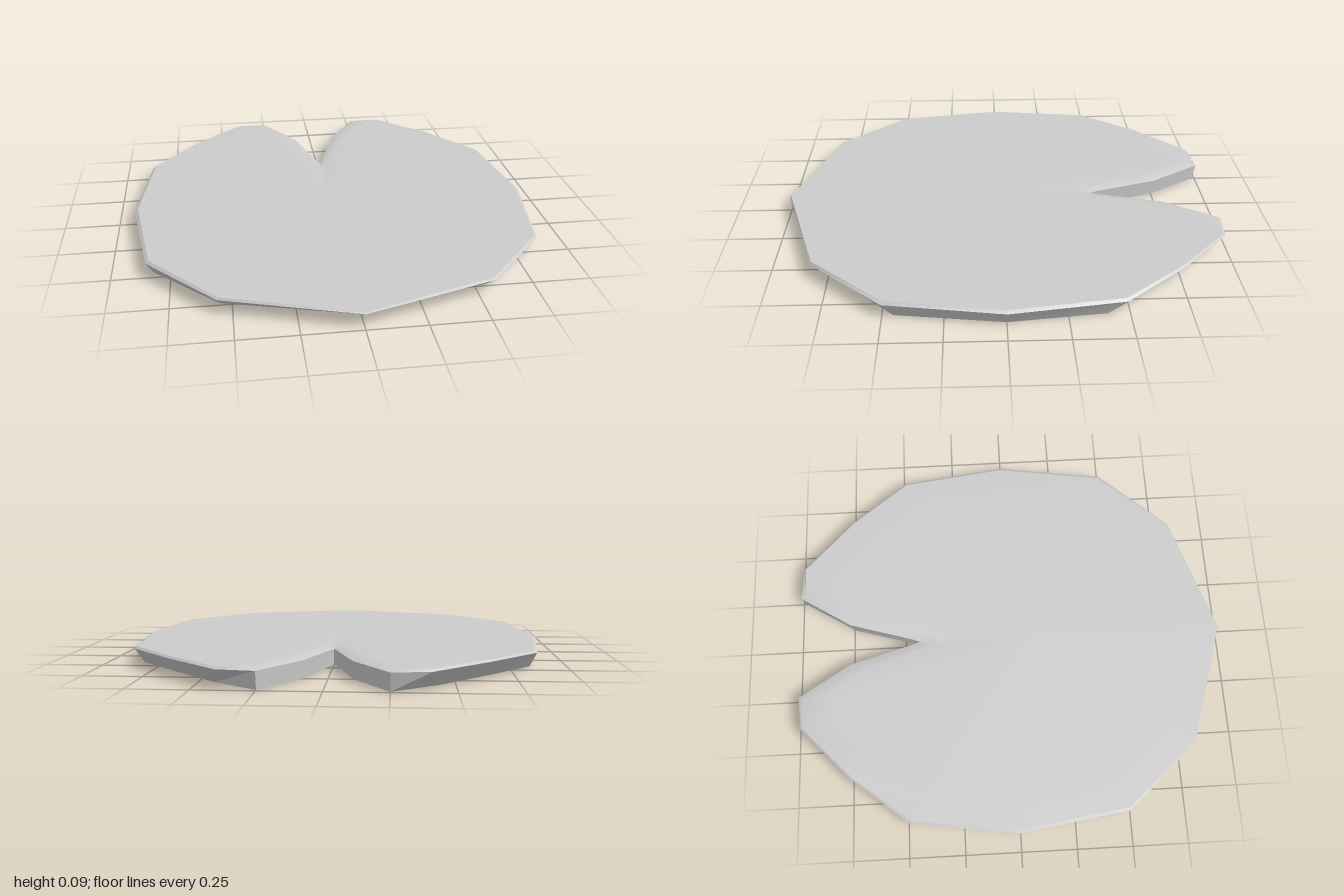
import * as THREE from 'three';
import { toCreasedNormals } from 'three/addons/utils/BufferGeometryUtils.js';

// Right half of each outline as [x, z, y], from the front tip round to the notch.
const UNDERSIDE = [
  [0, 0.87, 0], [0.55, 0.735, 0], [0.825, 0.455, 0], [0.885, 0, 0], [0.84, -0.41, 0],
  [0.64, -0.63, 0], [0.44, -0.84, 0], [0.25, -0.985, 0], [0.1, -0.745, 0], [0.015, -0.45, 0], [0, -0.42, 0],
];
const RIM = [
  [0, 1, 0.072], [0.56, 0.822, 0.07], [0.85, 0.5, 0.07], [0.925, 0, 0.07], [0.86, -0.485, 0.072],
  [0.645, -0.755, 0.078], [0.405, -0.987, 0.077], [0.25, -1, 0.075], [0.1, -0.76, 0.075], [0.015, -0.47, 0.071], [0, -0.43, 0.07],
];
const TOP = [
  [0, 0.995, 0.08], [0.555, 0.817, 0.08], [0.837, 0.495, 0.08], [0.91, 0, 0.08], [0.848, -0.48, 0.081],
  [0.638, -0.75, 0.086], [0.4, -0.978, 0.086], [0.268, -0.978, 0.086], [0.13, -0.75, 0.085], [0.032, -0.435, 0.08], [0, -0.405, 0.077],
];

// Full loop: the half outline plus its mirror image
function mirrorLoop(half) {
  const other = half.slice(1, -1).reverse().map(([x, z, y]) => [-x, z, y]);
  return [...half, ...other].map(([x, z, y]) => new THREE.Vector3(x, y, z));
}

// Shrinks a loop towards a centre point and sets a gentle height
function insetLoop(loop, centre, scale) {
  return loop.map((p) => {
    const q = p.clone().sub(centre).multiplyScalar(scale).add(centre);
    q.y = 0.081 + 0.007 * THREE.MathUtils.smoothstep(-q.z, 0.35, 0.75);
    return q;
  });
}

// Joins consecutive loops with quads and closes both ends with fans
function loft(loops, startCentre, endCentre) {
  const pos = [];
  const tri = (...pts) => pts.forEach((p) => pos.push(p.x, p.y, p.z));
  const n = loops[0].length;
  for (let i = 0; i < n; i++) {
    const j = (i + 1) % n;
    tri(startCentre, loops[0][j], loops[0][i]);
    for (let k = 0; k < loops.length - 1; k++) {
      const [lo, hi] = [loops[k], loops[k + 1]];
      tri(lo[i], lo[j], hi[j]);
      tri(lo[i], hi[j], hi[i]);
    }
    const last = loops[loops.length - 1];
    tri(last[i], last[j], endCentre);
  }
  const geometry = new THREE.BufferGeometry();
  geometry.setAttribute('position', new THREE.Float32BufferAttribute(pos, 3));
  return geometry;
}

export function createModel() {
  const group = new THREE.Group();
  group.name = 'lilyPad';

  const bottomCentre = new THREE.Vector3(0, 0, 0.1);
  const topCentre = new THREE.Vector3(0, 0.081, 0.1);
  const top = mirrorLoop(TOP);

  // Notched leaf: flat underside, flared wall, thin bevel, softly rising lobes
  const geometry = loft(
    [mirrorLoop(UNDERSIDE), mirrorLoop(RIM), top, insetLoop(top, topCentre, 0.88)],
    bottomCentre,
    topCentre,
  );
  const leaf = new THREE.Mesh(
    toCreasedNormals(geometry, 0.55),
    new THREE.MeshStandardMaterial({ color: 0xcccccc }),
  );
  leaf.name = 'leaf';
  group.add(leaf);
  return group;
}
